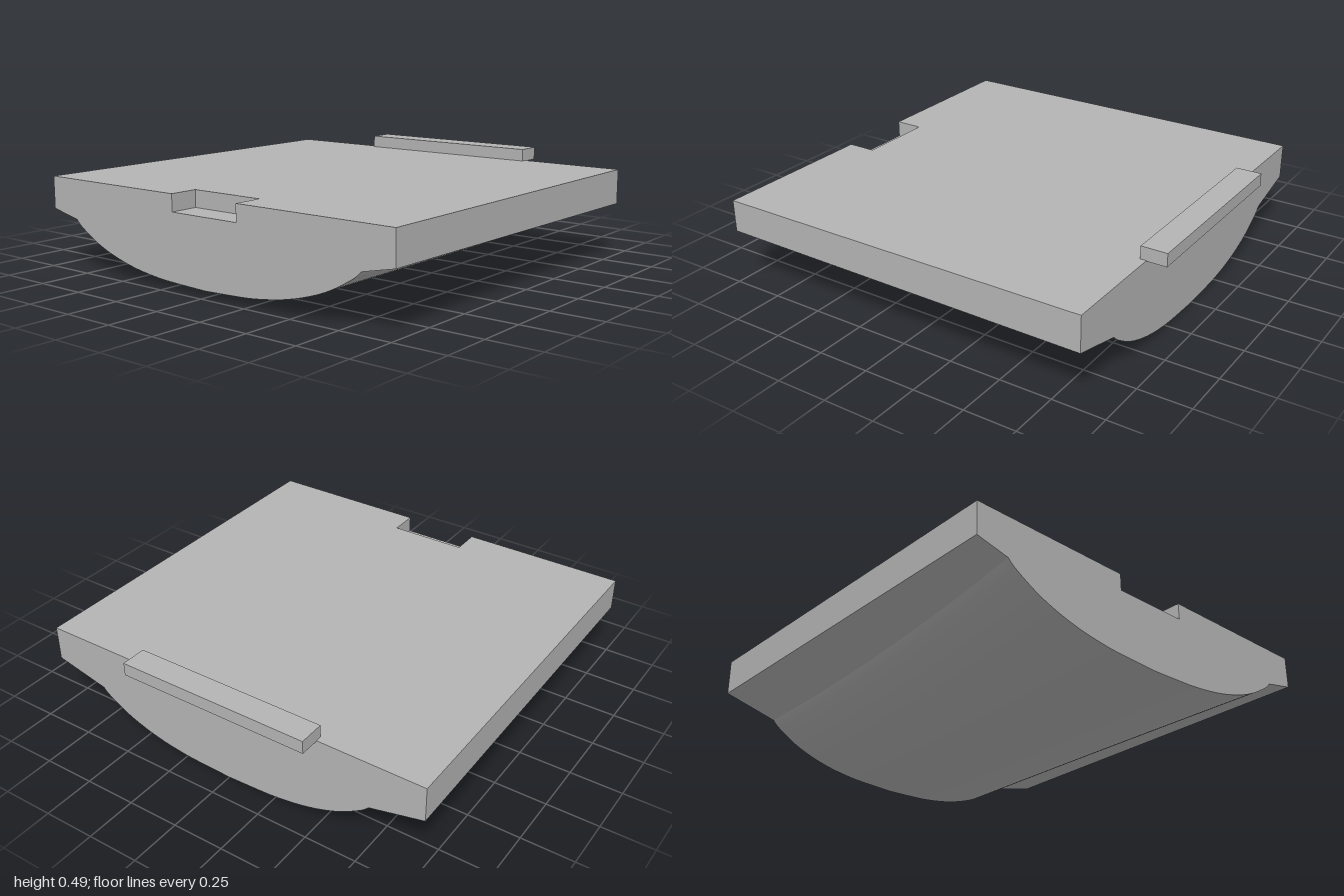
import * as THREE from 'three';
import { mergeGeometries } from 'three/addons/utils/BufferGeometryUtils.js';

const X0 = -0.975, X1 = 0.88, TOP = 0.43;
const NOTCH = { x: -0.835, z: 0.19, y: 0.35 };

// Smooth surface through rows of points; the front faces along (row direction) x (column direction)
function grid(rows) {
  const n = rows[0].length, index = [];
  for (let i = 0; i < rows.length - 1; i++) {
    for (let j = 0; j < n - 1; j++) {
      const a = i * n + j, b = a + n;
      index.push(a, b, a + 1, b, b + 1, a + 1);
    }
  }
  const g = new THREE.BufferGeometry();
  g.setAttribute('position', new THREE.Float32BufferAttribute(rows.flat(2), 3));
  g.setIndex(index);
  g.computeVertexNormals();
  return g;
}

// Half of the belly curve: share of the half width, share of the height
const bellyCurve = new THREE.SplineCurve([
  [0, 0], [0.27, 0.04], [0.41, 0.095], [0.54, 0.18], [0.68, 0.325],
  [0.816, 0.53], [0.95, 0.83], [1, 1],
].map(([u, v]) => new THREE.Vector2(u, v))).getPoints(28);

// Cross-section at x: flange edge and belly, the belly widening towards -x
function section(x) {
  const t = (x - X0) / (X1 - X0), e = (1 - t) ** 2;
  const low = 0.03 * e, crease = 0.195 + 0.045 * e, half = 0.735 + 0.105 * e;
  const right = bellyCurve.map((p) => [half * p.x, low + (crease - low) * p.y]);
  const left = right.slice(1).reverse().map(([z, y]) => [-z, y]);
  return { edge: 0.275 - 0.015 * t, belly: [...left, ...right] };
}

// Flat end cap, with the notch cut out of the top edge if wanted
function endCap(x, notched) {
  const { edge, belly } = section(x);
  const pts = [[-1, TOP], [-1, edge], ...belly, [1, edge], [1, TOP]];
  if (notched) {
    pts.push([NOTCH.z, TOP], [NOTCH.z, NOTCH.y], [-NOTCH.z, NOTCH.y], [-NOTCH.z, TOP]);
  }
  const g = new THREE.ShapeGeometry(new THREE.Shape(pts.map((p) => new THREE.Vector2(...p))));
  return g.rotateY(x > 0 ? Math.PI / 2 : -Math.PI / 2).translate(x, 0, 0);
}

export function createModel() {
  const model = new THREE.Group();
  const grey = new THREE.MeshStandardMaterial({ color: 0xb4b4b4 });
  grey.name = 'light grey';
  const add = (name, geometry) => {
    const mesh = new THREE.Mesh(geometry, grey);
    mesh.name = name;
    model.add(mesh);
  };

  // Long surfaces swept along x
  const xs = Array.from({ length: 25 }, (_, i) => X0 + (X1 - X0) * i / 24);
  const sweep = (profile) => grid(xs.map((x) => profile(section(x)).map(([z, y]) => [x, y, z])));
  add('belly', sweep((s) => s.belly));
  add('flangeUndersides', mergeGeometries([
    sweep((s) => [[-1, s.edge], s.belly[0]]),
    sweep((s) => [s.belly.at(-1), [1, s.edge]]),
  ]));
  add('slabSides', mergeGeometries([
    sweep((s) => [[-1, TOP], [-1, s.edge]]),
    sweep((s) => [[1, s.edge], [1, TOP]]),
  ]));

  // Ends
  add('notchedEnd', endCap(X0, true));
  add('plainEnd', endCap(X1, false));

  // Top with the notch outline
  const outline = [[X0, -1], [X1, -1], [X1, 1], [X0, 1], [X0, NOTCH.z],
    [NOTCH.x, NOTCH.z], [NOTCH.x, -NOTCH.z], [X0, -NOTCH.z]];
  const topShape = new THREE.Shape(outline.map((p) => new THREE.Vector2(...p)));
  add('slabTop', new THREE.ShapeGeometry(topShape).rotateX(-Math.PI / 2).translate(0, TOP, 0));

  // Notch floor and its three walls
  add('notchFloor', new THREE.PlaneGeometry(NOTCH.x - X0, 2 * NOTCH.z)
    .rotateX(-Math.PI / 2).translate((X0 + NOTCH.x) / 2, NOTCH.y, 0));
  const path = [[X0, NOTCH.z], [NOTCH.x, NOTCH.z], [NOTCH.x, -NOTCH.z], [X0, -NOTCH.z]];
  add('notchWalls', mergeGeometries([0, 1, 2].map((i) => grid(
    [path[i], path[i + 1]].map(([x, z]) => [[x, TOP, z], [x, NOTCH.y, z]]),
  ))));

  // Raised bar overhanging the plain end
  add('edgeBar', new THREE.BoxGeometry(0.125, 0.063, 0.96).translate(0.9125, 0.4585, 0));
  return model;
}
